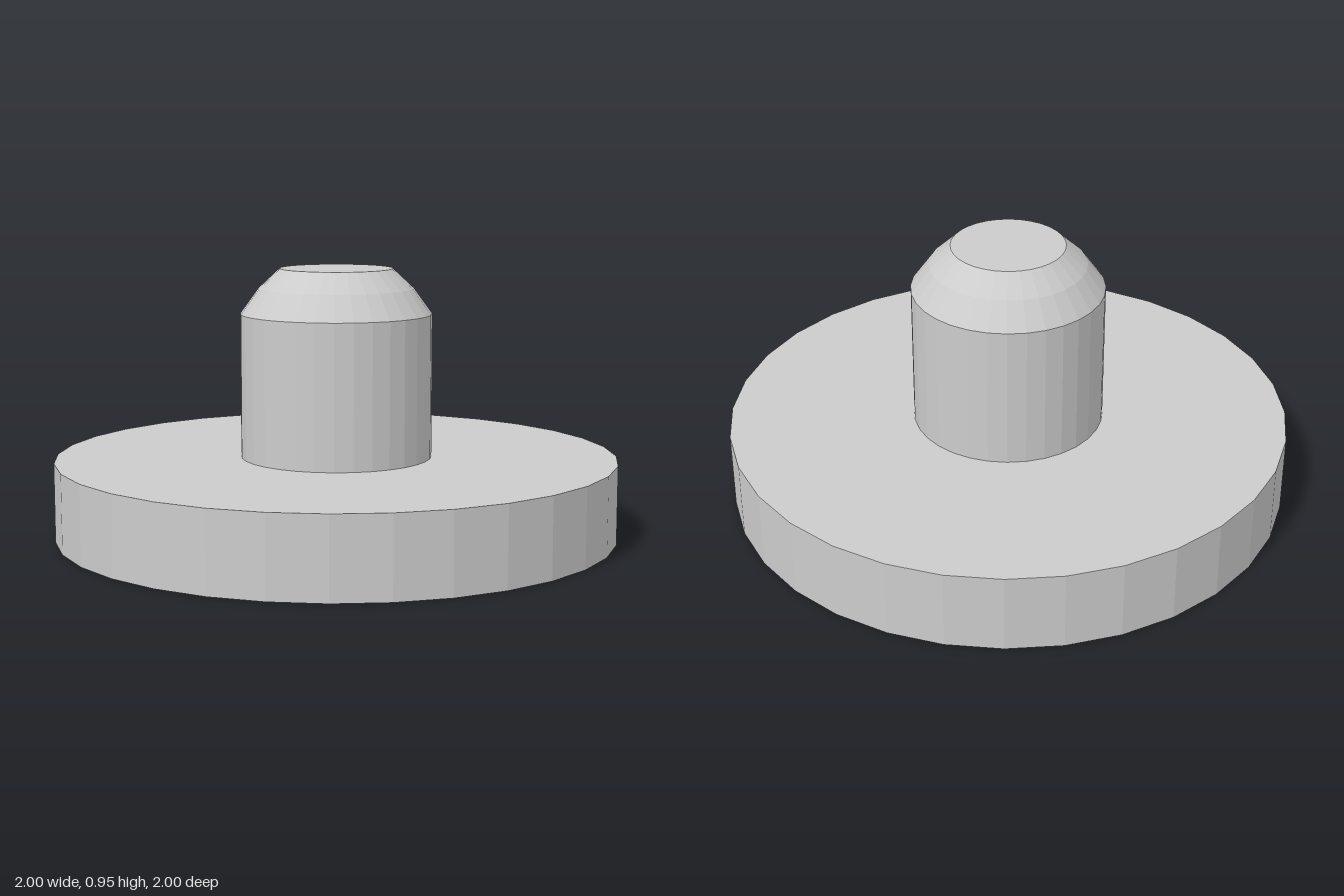
import * as THREE from 'three';

const SEGMENTS = 32;

export function createModel() {
  const group = new THREE.Group();
  const material = new THREE.MeshStandardMaterial({ color: 0xcccccc, flatShading: true });

  // Turned solid from a [radius, height] profile running bottom to top
  const turn = (name, profile) => {
    const points = profile.map(([r, y]) => new THREE.Vector2(r, y));
    const mesh = new THREE.Mesh(new THREE.LatheGeometry(points, SEGMENTS), material);
    mesh.name = name;
    group.add(mesh);
  };

  // Wide round flange with a closed underside
  turn('baseDisc', [[0, 0], [1, 0], [1, 0.28], [0, 0.28]]);

  // Upright post with rounded shoulder and flat tip
  turn('post', [[0.34, 0.28], [0.34, 0.79], [0.275, 0.88], [0.2, 0.95], [0, 0.95]]);

  return group;
}
